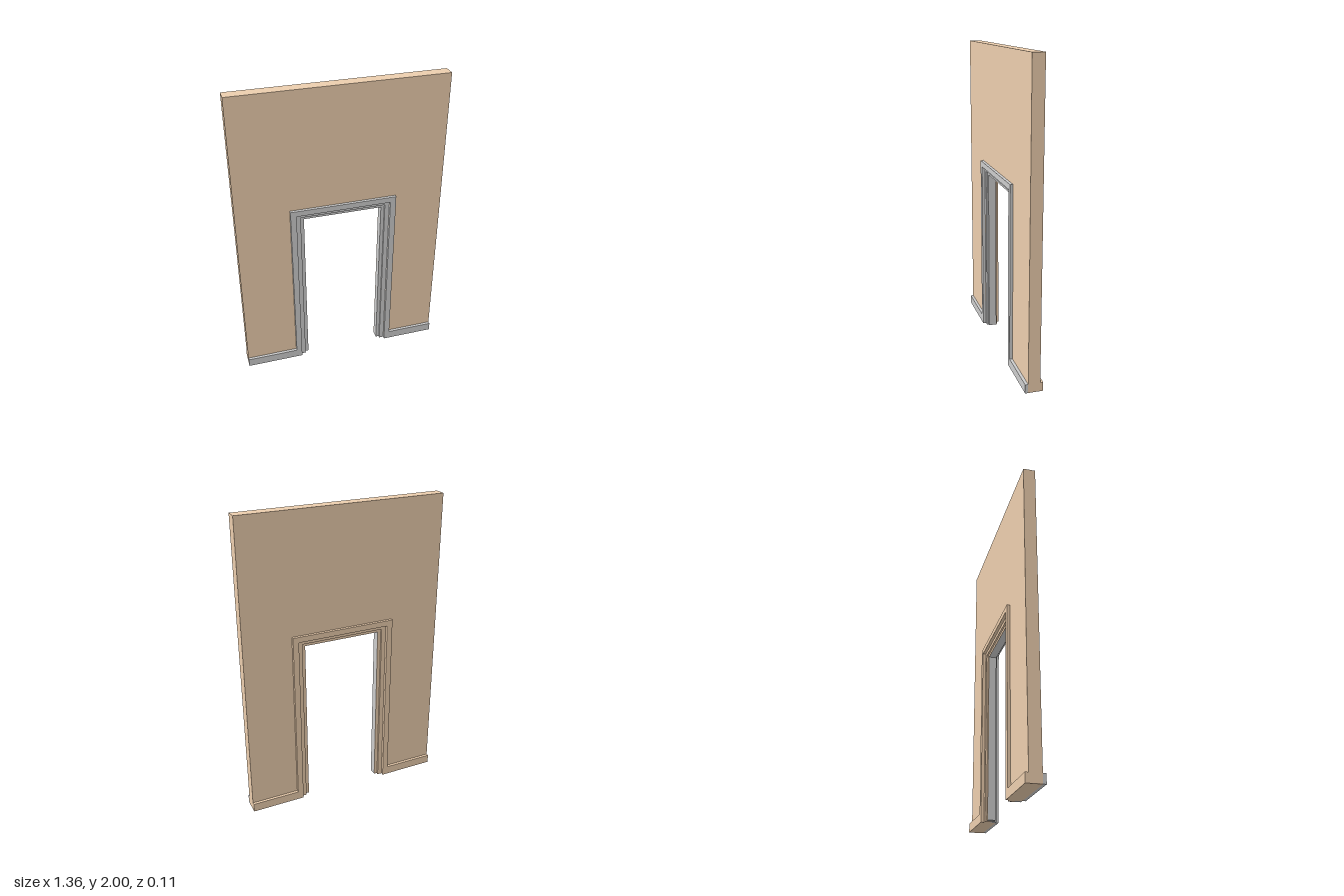
import * as THREE from 'three';

const GREY = 0xcccccc, TAN = 0xebcdad;
const CX = 0.0125;          // centre of the doorway
const HALF = 0.68;          // half width of the wall
const WALL_Z = 0.038, TRIM_Z = 0.057;

// Extrudes an outline between two depths
function slab(name, points, z0, z1, color) {
  const shape = new THREE.Shape(points.map(([x, y]) => new THREE.Vector2(x, y)));
  const geometry = new THREE.ExtrudeGeometry(shape, { depth: z1 - z0, bevelEnabled: false });
  geometry.translate(0, 0, z0);
  const mesh = new THREE.Mesh(geometry, new THREE.MeshStandardMaterial({ color }));
  mesh.name = name;
  return mesh;
}

// Outline of a three-sided door frame around the opening
function portal(outerHalf, outerTop, innerHalf, innerTop, bottom = 0) {
  return [
    [CX - outerHalf, bottom], [CX - outerHalf, outerTop],
    [CX + outerHalf, outerTop], [CX + outerHalf, bottom],
    [CX + innerHalf, bottom], [CX + innerHalf, innerTop],
    [CX - innerHalf, innerTop], [CX - innerHalf, bottom],
  ];
}

export function createModel() {
  const group = new THREE.Group();
  group.name = 'doorwayWall';

  const casing = { outer: 0.348, top: 1.212, inner: 0.31, innerTop: 1.175 };
  const inner = [
    [CX + casing.inner, 0], [CX + casing.inner, casing.innerTop],
    [CX - casing.inner, casing.innerTop], [CX - casing.inner, 0],
  ];

  // Wall with the doorway cut out
  group.add(slab('wall', [
    [-HALF, 0], [-HALF, 2], [HALF, 2], [HALF, 0], ...inner,
  ], -WALL_Z, WALL_Z, TAN));

  // Casing and skirting board in one band, on each face of the wall
  const base = 0.058;
  const trim = [
    [-HALF, 0], [-HALF, base], [CX - casing.outer, base],
    [CX - casing.outer, casing.top], [CX + casing.outer, casing.top],
    [CX + casing.outer, base], [HALF, base], [HALF, 0], ...inner,
  ];
  group.add(slab('frontTrim', trim, WALL_Z, TRIM_Z, GREY));
  group.add(slab('backTrim', trim, -TRIM_Z, -WALL_Z, TAN));

  // Stepped jamb lining the doorway: grey front half, tan back half
  const jamb = portal(0.31, 1.175, 0.28, 1.15);
  group.add(slab('frontJamb', jamb, 0, 0.037, GREY));
  group.add(slab('backJamb', jamb, -0.037, 0, TAN));

  // Door stop, with a thin tan back
  const stop = portal(0.28, 1.15, 0.257, 1.13, 0.005);
  group.add(slab('doorStop', stop, -0.023, 0.026, GREY));
  group.add(slab('doorStopBack', stop, -0.026, -0.023, TAN));

  return group;
}
